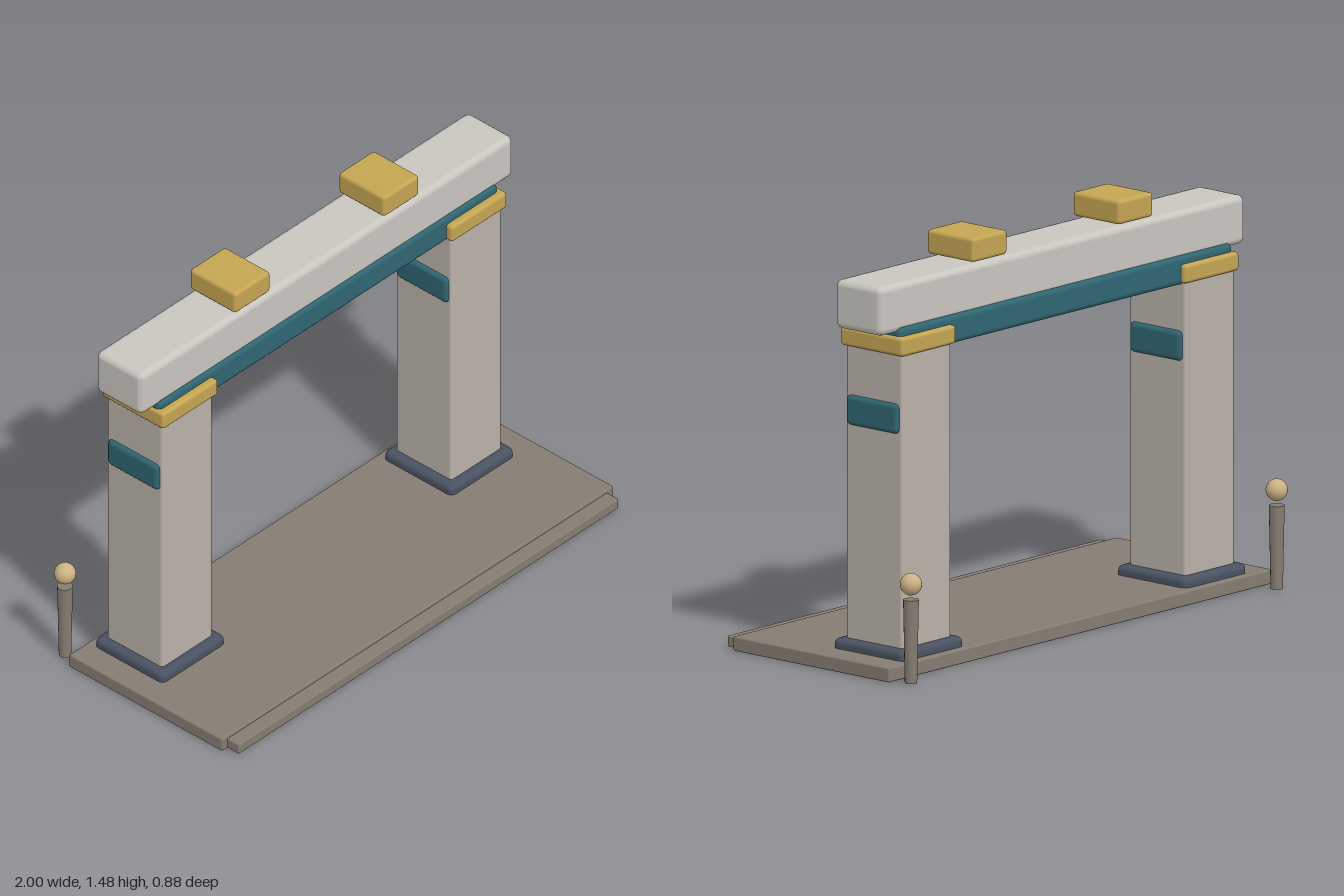
import * as THREE from 'three';
import { RoundedBoxGeometry } from 'three/addons/geometries/RoundedBoxGeometry.js';

const paint = (color) => new THREE.MeshStandardMaterial({ color });
const mats = {
  paving: paint(0x857d72),
  stone: paint(0xb9b2a8),
  pale: paint(0xc9c6c0),
  slate: paint(0x4a5262),
  gold: paint(0xc4a552),
  teal: paint(0x2f6672),
  wood: paint(0xcdb284),
};

// Rounded block given by its extents along each axis
function block(name, mat, [x0, x1], [y0, y1], [z0, z1], radius) {
  const geo = new RoundedBoxGeometry(x1 - x0, y1 - y0, z1 - z0, 2, radius);
  const mesh = new THREE.Mesh(geo, mat);
  mesh.name = name;
  mesh.position.set((x0 + x1) / 2, (y0 + y1) / 2, (z0 + z1) / 2);
  return mesh;
}

// Span of a given half width around a centre
const around = (c, half) => [c - half, c + half];

function createPillar(side) {
  const pillar = new THREE.Group();
  pillar.name = side > 0 ? 'leftPillar' : 'rightPillar';
  pillar.add(
    block('pillarBase', mats.slate, around(0, 0.162), [0.03, 0.093], around(-0.149, 0.163), 0.022),
    block('pillarShaft', mats.stone, around(0, 0.129), [0.02, 1.15], around(-0.15, 0.131), 0.012),
    block('pillarBand', mats.teal, around(0, 0.144), [0.855, 0.963], around(-0.149, 0.12), 0.018),
    block('pillarCapital', mats.gold, around(0, 0.142), [1.135, 1.202], around(-0.148, 0.145), 0.013),
  );
  pillar.position.x = side * 0.738 - 0.003;
  return pillar;
}

function createPost(side) {
  const post = new THREE.Group();
  post.name = side > 0 ? 'leftPost' : 'rightPost';
  // Shaft widens slightly towards the top
  const shaft = new THREE.Mesh(new THREE.CylinderGeometry(0.028, 0.022, 0.297, 12), mats.paving);
  shaft.name = 'postShaft';
  shaft.position.y = 0.154;
  const ball = new THREE.Mesh(new THREE.SphereGeometry(0.039, 16, 12), mats.wood);
  ball.name = 'postBall';
  ball.position.y = 0.357;
  post.add(shaft, ball);
  post.position.set(side * 0.953 - 0.004, 0, -0.398);
  return post;
}

export function createModel() {
  const gate = new THREE.Group();
  gate.name = 'gateway';

  // Ground slab with a low front step
  gate.add(
    block('platform', mats.paving, [-1, 1], [0.005, 0.057], [-0.34, 0.384], 0.006),
    block('frontStep', mats.paving, [-0.973, 0.968], [0.006, 0.046], [0.3, 0.438], 0.005),
  );

  for (const side of [-1, 1]) gate.add(createPillar(side), createPost(side));

  // Teal lintel under the main beam
  gate.add(
    block('lintel', mats.teal, [-0.872, 0.862], [1.128, 1.232], [-0.272, -0.03], 0.02),
    block('topBeam', mats.pale, [-0.955, 0.949], [1.213, 1.388], [-0.258, -0.04], 0.025),
  );

  // Gold blocks on top of the beam
  for (const side of [-1, 1]) {
    gate.add(block('roofBlock', mats.gold, around(side * 0.38 - 0.003, 0.091),
      [1.394, 1.481], [-0.258, -0.04], 0.014));
  }
  return gate;
}
